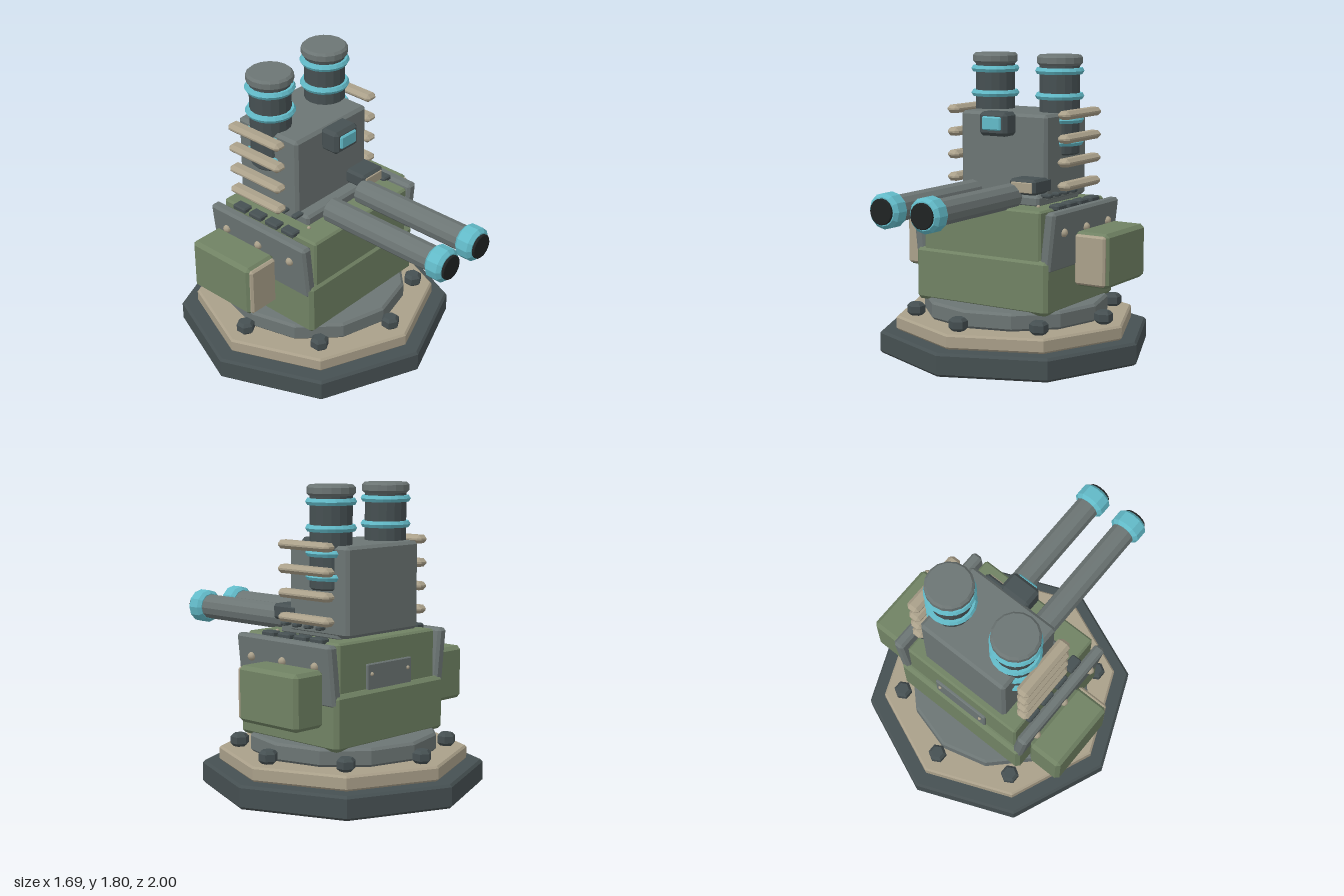
import * as THREE from 'three';
import { ConvexGeometry } from 'three/addons/geometries/ConvexGeometry.js';

const paint = (name, color) => {
  const m = new THREE.MeshStandardMaterial({ color });
  m.name = name;
  return m;
};

// Box between two corners with all edges chamfered; warp may move its points
function chamferBox([x0, y0, z0], [x1, y1, z1], c = 0.012, warp = null) {
  const half = [(x1 - x0) / 2, (y1 - y0) / 2, (z1 - z0) / 2];
  const mid = new THREE.Vector3(x0 + x1, y0 + y1, z0 + z1).multiplyScalar(0.5);
  const points = [];
  for (let axis = 0; axis < 3; axis++)
    for (const sx of [-1, 1]) for (const sy of [-1, 1]) for (const sz of [-1, 1]) {
      const s = [sx, sy, sz];
      const p = new THREE.Vector3(...s.map((v, i) => v * (half[i] - (i === axis ? 0 : c)))).add(mid);
      if (warp) warp(p);
      points.push(p);
    }
  return new ConvexGeometry(points);
}

const faceted = (geometry) => {
  const g = geometry.toNonIndexed();
  g.computeVertexNormals();
  return g;
};

// Upright faceted drum with chamfered rims, a corner pointing to +z
function drum(r, y0, y1, sides, c = 0.012) {
  const profile = [[0, y0], [r - c, y0], [r, y0 + c], [r, y1 - c], [r - c, y1], [0, y1]];
  return faceted(new THREE.LatheGeometry(profile.map(([x, y]) => new THREE.Vector2(x, y)), sides));
}

export function createModel() {
  const dark = paint('dark steel', 0x465052);
  const grey = paint('grey steel', 0x6c7574);
  const green = paint('olive green', 0x708263);
  const tan = paint('tan', 0xaaa08a);
  const cyan = paint('cyan', 0x62bac8);
  const black = paint('bore black', 0x202323);

  const model = new THREE.Group();
  const add = (name, geometry, material, x = 0, y = 0, z = 0) => {
    const mesh = new THREE.Mesh(geometry, material);
    mesh.name = name;
    mesh.position.set(x, y, z);
    model.add(mesh);
    return mesh;
  };
  const box = (name, a, b, material, c, warp) => add(name, chamferBox(a, b, c, warp), material);

  // Stepped base with eight bolts
  const cz = -0.157;
  add('basePlate', drum(0.843, 0, 0.14, 8, 0.015), dark, 0, 0, cz);
  add('baseStep', drum(0.743, 0.14, 0.228, 8), tan, 0, 0, cz);
  add('turntable', drum(0.565, 0.228, 0.337, 12, 0.015), grey, 0, 0, cz);
  const bolt = drum(0.056, 0.228, 0.305, 6, 0.018);
  for (let i = 0; i < 8; i++) {
    const a = i * Math.PI / 4;
    add('baseBolt', bolt, dark, 0.62 * Math.sin(a), 0, cz + 0.62 * Math.cos(a));
  }

  // Hull
  box('lowerHull', [-0.465, 0.32, -0.548], [0.465, 0.645, 0.245], green, 0.022);
  box('upperHull', [-0.412, 0.6, -0.515], [0.412, 0.93, 0.23], green, 0.012);
  box('rearHatch', [-0.19, 0.63, -0.53], [0.19, 0.79, -0.5], grey, 0.006);

  const rivet = new THREE.SphereGeometry(0.026, 8, 6);
  const smallRivet = new THREE.SphereGeometry(0.012, 8, 6);
  for (const s of [-1, 1]) {
    // Leaning side armour
    const lean = (p) => {
      p.x += s * ((p.y - 0.57) / 0.355) * 0.04;
    };
    const inner = s * 0.4, outer = s * 0.47;
    box('sideArmour', [Math.min(inner, outer), 0.57, -0.535], [Math.max(inner, outer), 0.928, 0.228], grey, 0.016, lean);
    for (const z of [0.105, -0.15, -0.41]) add('armourRivet', rivet, tan, s * 0.496, 0.8, z);

    // Side pods with tan front covers
    box('sidePod', [s * 0.6075 - 0.1125, 0.465, -0.485], [s * 0.6075 + 0.1125, 0.79, -0.015], green, 0.022);
    box('podCover', [s * 0.6075 - 0.1, 0.478, -0.03], [s * 0.6075 + 0.1, 0.777, 0.002], tan, 0.012);

    // Deck blocks and rivets
    for (let i = 0; i < 4; i++) {
      const z = 0.03 - 0.13 * i;
      box('deckBlock', [s * 0.41 - 0.034, 0.915, z - 0.05], [s * 0.41 + 0.034, 0.95, z + 0.05], dark, 0.008);
      const v = -0.0 - 0.095 * i;
      box('collarBolt', [s * 0.315 - 0.035, 0.975, v - 0.02], [s * 0.315 + 0.035, 0.998, v + 0.02], dark, 0.006);
    }
    add('deckRivet', smallRivet, tan, s * 0.31, 0.932, 0.085);
    add('hatchRivet', smallRivet, tan, s * 0.155, 0.73, -0.53);
  }

  // Tower on its collar
  box('towerCollar', [-0.3, 0.92, -0.41], [0.3, 0.99, 0.07], grey, 0.015);
  box('tower', [-0.305, 0.94, -0.48], [0.305, 1.46, -0.01], grey, 0.018);

  // Tower sensor and offset sight
  box('sensorHousing', [-0.097, 1.33, -0.02], [0.097, 1.472, 0.11], dark, 0.02);
  box('sensorLens', [-0.066, 1.365, 0.1], [0.066, 1.447, 0.124], cyan, 0.008);
  box('sightHousing', [0.13, 1.0, -0.07], [0.31, 1.092, 0.125], dark, 0.015);
  box('sightFace', [0.148, 1.012, 0.12], [0.292, 1.075, 0.132], tan, 0.004);

  // Twin guns
  const barrel = drum(0.077, 0.105, 0.9, 12, 0.005);
  const muzzle = drum(0.102, 0.872, 0.985, 12, 0.02);
  const bore = drum(0.074, 0.95, 1.0, 16, 0.003);
  for (const s of [-1, 1])
    for (const [name, g, m] of [['gunBarrel', barrel, grey], ['muzzleRing', muzzle, cyan], ['gunBore', bore, black]])
      add(name, g, m, s * 0.138, 0.987, 0).rotation.x = Math.PI / 2;

  // Vertical launch tubes with glowing bands
  const tube = drum(0.123, 1.205, 1.75, 16, 0.01);
  const cap = drum(0.14, 1.738, 1.8, 16, 0.014);
  const band = faceted(new THREE.TorusGeometry(0.127, 0.022, 6, 20).rotateX(Math.PI / 2));
  for (const s of [-1, 1]) {
    const x = s * 0.232, z = -0.28;
    add('launchTube', tube, dark, x, 0, z);
    add('tubeCap', cap, grey, x, 0, z);
    for (const y of [1.705, 1.555, 1.415, 1.28]) add('tubeBand', band, cyan, x, y, z);

    // Stacked side fins
    for (let i = 0; i < 4; i++) {
      const y = 1.04 + 0.14 * i;
      box('coolingRod', [s * 0.396 - 0.042, y - 0.025, -0.442], [s * 0.396 + 0.042, y + 0.025, -0.038], tan, 0.02);
    }
  }
  return model;
}
